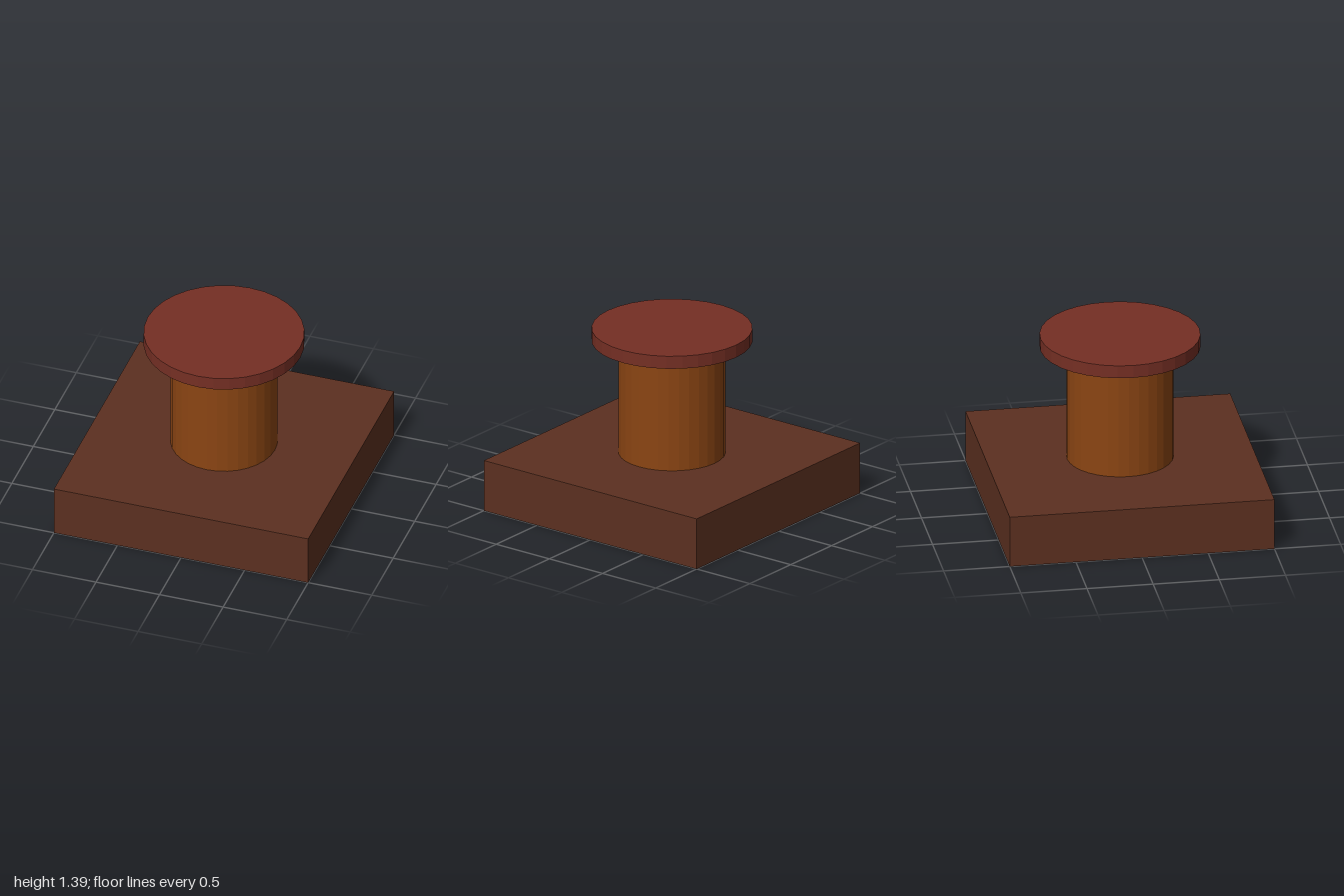
import * as THREE from 'three';

export function createModel() {
  const group = new THREE.Group();

  // Adds a named part whose underside rests at the given height
  function addPart(name, geometry, height, bottom, color) {
    const material = new THREE.MeshStandardMaterial({ color, flatShading: true });
    const mesh = new THREE.Mesh(geometry, material);
    mesh.name = name;
    mesh.position.y = bottom + height / 2;
    group.add(mesh);
  }

  // Square plinth, round column and overhanging disc
  addPart('base', new THREE.BoxGeometry(2, 0.4, 2), 0.4, 0, 0x5c3020);
  addPart('column', new THREE.CylinderGeometry(0.4, 0.4, 0.89, 32), 0.89, 0.4, 0x8b4513);
  addPart('topDisc', new THREE.CylinderGeometry(0.6, 0.6, 0.1, 32), 0.1, 1.29, 0x752f24);

  return group;
}
